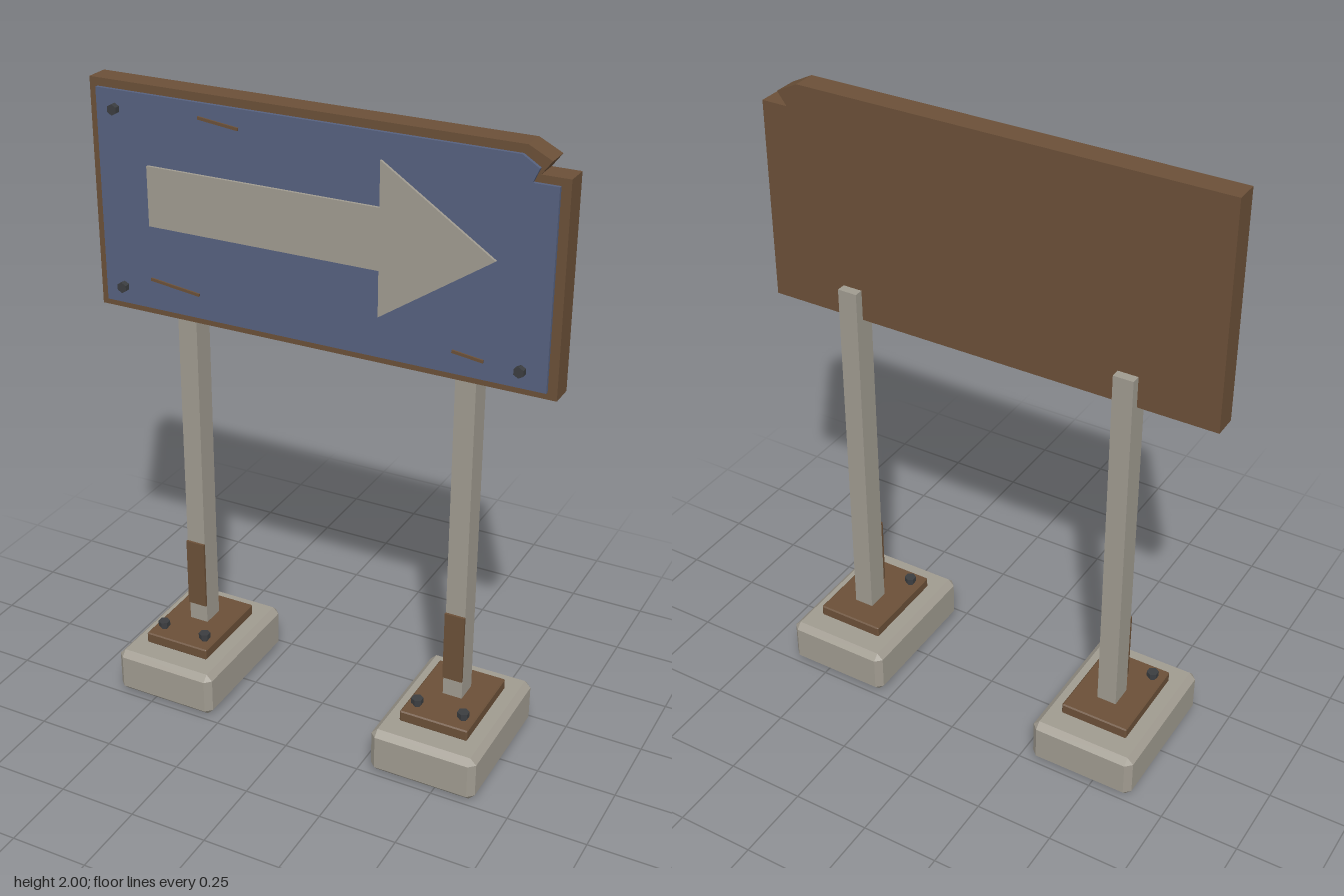
import * as THREE from 'three';
import { ConvexGeometry } from 'three/addons/geometries/ConvexGeometry.js';

const mat = (name, color) => {
  const m = new THREE.MeshStandardMaterial({ color });
  m.name = name;
  return m;
};

export function createModel() {
  const wood = mat('rust brown', 0x6b5038);
  const concrete = mat('weathered grey', 0xa09b90);
  const blue = mat('faded blue', 0x56617f);
  const steel = mat('dark steel', 0x3b3d40);
  const root = new THREE.Group();
  root.name = 'signpost';

  const add = (parent, name, geo, material, x = 0, y = 0, z = 0) => {
    const mesh = new THREE.Mesh(geo, material);
    mesh.name = name;
    mesh.position.set(x, y, z);
    parent.add(mesh);
    return mesh;
  };

  // Box with every edge chamfered by b
  const chamferBox = (w, h, d, b) => {
    const pts = [];
    for (const sx of [-1, 1]) for (const sy of [-1, 1]) for (const sz of [-1, 1]) {
      for (let k = 0; k < 3; k++) {
        pts.push(new THREE.Vector3(
          sx * (w / 2 - (k === 0 ? 0 : b)),
          sy * (h / 2 - (k === 1 ? 0 : b)),
          sz * (d / 2 - (k === 2 ? 0 : b))));
      }
    }
    return new ConvexGeometry(pts);
  };

  // Flat outline extruded forward from z = 0
  const slab = (points, depth) => new THREE.ExtrudeGeometry(
    new THREE.Shape(points.map(([x, y]) => new THREE.Vector2(x, y))),
    { depth, bevelEnabled: false });

  // Hex bolt: thin shank with a wider head, pointing along +y
  const bolt = (parent, name, r, x, y, z) => {
    const g = new THREE.Group();
    g.name = name;
    g.position.set(x, y, z);
    const hex = (radius, h) => {
      const flat = new THREE.CylinderGeometry(radius, radius, h, 6).toNonIndexed();
      flat.computeVertexNormals();
      return flat;
    };
    add(g, 'boltShank', hex(r * 0.65, 0.012), steel, 0, 0.005, 0);
    add(g, 'boltHead', hex(r, 0.018), steel, 0, 0.018, 0);
    parent.add(g);
    return g;
  };

  // Board and face panel, both with the broken upper corner
  add(root, 'board', slab([[-0.74, 1.29], [0.74, 1.29], [0.74, 1.925], [0.655, 1.925],
    [0.685, 1.965], [0.616, 2], [-0.74, 2]], 0.075), wood, 0, 0, -0.038);
  add(root, 'facePanel', slab([[-0.714, 1.312], [0.712, 1.312], [0.712, 1.903], [0.637, 1.903],
    [0.655, 1.944], [0.605, 1.975], [-0.714, 1.975]], 0.011), blue, 0, 0, 0.037);

  // Arrow
  add(root, 'arrow', slab([[-0.545, 1.58], [0.205, 1.58], [0.205, 1.44], [0.55, 1.672],
    [0.205, 1.9], [0.205, 1.765], [-0.545, 1.765]], 0.009), concrete, 0, 0, 0.05);

  // Scratches
  for (const [x0, y0, x1, y1] of [[-0.37, 1.932, -0.24, 1.917],
    [-0.552, 1.408, -0.385, 1.388], [0.43, 1.381, 0.525, 1.369]]) {
    const s = add(root, 'scratch', new THREE.BoxGeometry(Math.hypot(x1 - x0, y1 - y0), 0.009, 0.006),
      wood, (x0 + x1) / 2, (y0 + y1) / 2, 0.05);
    s.rotation.z = Math.atan2(y1 - y0, x1 - x0);
  }

  // Panel bolts; the broken corner has none
  for (const [x, y] of [[-0.645, 1.922], [-0.645, 1.37], [0.638, 1.37]]) {
    bolt(root, 'panelBolt', 0.017, x, y, 0.047).rotation.x = Math.PI / 2;
  }

  // Two posts with footings
  for (const side of [-1, 1]) {
    const leg = new THREE.Group();
    leg.name = side < 0 ? 'rightPost' : 'leftPost';
    leg.position.x = side * 0.458;
    root.add(leg);
    add(leg, 'footing', chamferBox(0.348, 0.152, 0.48, 0.02), concrete, 0, 0.076, 0);
    add(leg, 'basePlate', chamferBox(0.225, 0.038, 0.305, 0.004), wood, 0, 0.171, 0);
    add(leg, 'post', new THREE.BoxGeometry(0.064, 1.21, 0.075), concrete, 0, 0.785, -0.03);
    add(leg, 'rustPatch', new THREE.BoxGeometry(0.065, 0.235, 0.008), wood, 0, 0.372, 0.011);
    for (const dx of [-0.077, 0.077]) bolt(leg, 'baseBolt', 0.019, dx, 0.19, 0.1);
  }
  return root;
}
